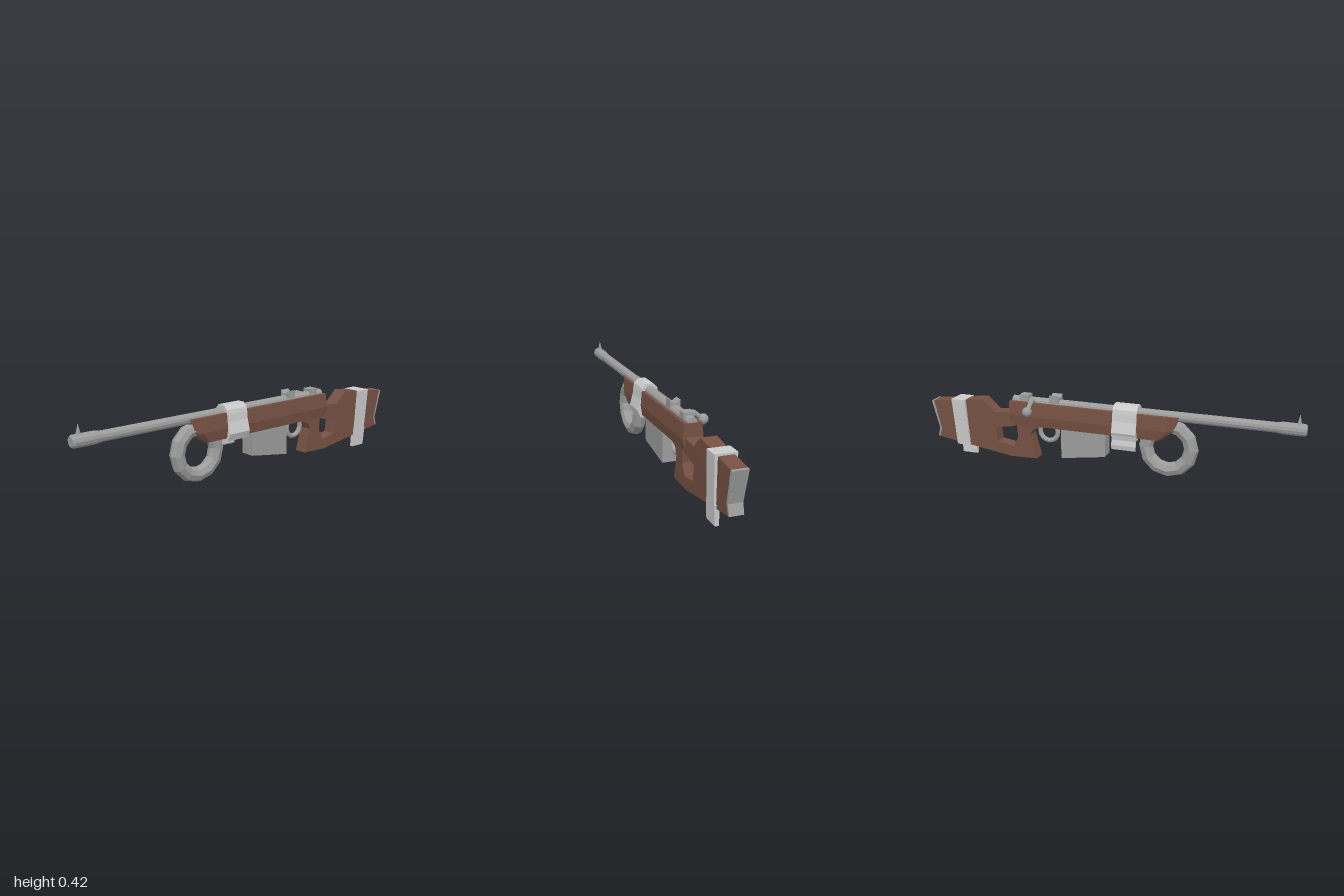
import * as THREE from 'three';

const mat = (color) => new THREE.MeshStandardMaterial({ color, flatShading: true });

export function createModel() {
  const group = new THREE.Group();
  const wood = mat(0x765143), metal = mat(0x9c9c9c), cloth = mat(0xcccccc);

  const add = (name, geometry, material) => {
    const mesh = new THREE.Mesh(geometry, material);
    mesh.name = name;
    group.add(mesh);
    return mesh;
  };
  const outline = (pts) => pts.map(([a, b]) => new THREE.Vector2(a, b));

  // side profile in x, y with thickness 2 * half
  const slab = (pts, half, hole) => {
    const shape = new THREE.Shape(outline(pts));
    if (hole) shape.holes.push(new THREE.Path(outline(hole)));
    return new THREE.ExtrudeGeometry(shape, { depth: half * 2, bevelEnabled: false }).translate(0, 0, -half);
  };
  // narrow a slab towards its bottom edge
  const taper = (geo, yTop, yBottom, scale) => {
    const p = geo.attributes.position;
    for (let i = 0; i < p.count; i++) {
      const t = THREE.MathUtils.clamp((yTop - p.getY(i)) / (yTop - yBottom), 0, 1);
      p.setZ(i, p.getZ(i) * THREE.MathUtils.lerp(1, scale, t));
    }
    geo.computeVertexNormals();
    return geo;
  };
  // cross profile in z, y running from x0 to x1
  const prism = (pts, x0, x1) =>
    new THREE.ExtrudeGeometry(new THREE.Shape(outline(pts.map(([z, y]) => [-z, y]))),
      { depth: x1 - x0, bevelEnabled: false }).rotateY(Math.PI / 2).translate(x0, 0, 0);
  // skin over a row of rings, capped at both ends
  const loft = (rings) => {
    const n = rings[0].length, index = [];
    for (let i = 0; i < rings.length - 1; i++)
      for (let j = 0; j < n; j++) {
        const k = (j + 1) % n, a = i * n + j, b = i * n + k;
        index.push(a, a + n, b + n, a, b + n, b);
      }
    const e = (rings.length - 1) * n;
    for (let j = 1; j < n - 1; j++) index.push(0, j, j + 1, e, e + j + 1, e + j);
    const geo = new THREE.BufferGeometry();
    geo.setAttribute('position', new THREE.Float32BufferAttribute(rings.flat(2), 3));
    geo.setIndex(index);
    geo.computeVertexNormals();
    return geo;
  };
  const rod = (a, b, r) => {
    const p = new THREE.Vector3(...a), q = new THREE.Vector3(...b);
    return new THREE.TubeGeometry(new THREE.LineCurve3(p, q), 1, r, 8);
  };

  // barrel with thicker muzzle, running along x
  const barrel = [[0, -1], [0.024, -1], [0.031, -0.99], [0.031, -0.89], [0.026, -0.85], [0.026, 0.515], [0, 0.515]];
  add('barrel', new THREE.LatheGeometry(outline(barrel), 12).rotateZ(-Math.PI / 2).translate(0, 0.343, 0), metal);

  // sights
  add('frontSight', new THREE.ConeGeometry(0.013, 0.055, 6).translate(-0.962, 0.392, 0), metal);
  add('rearSight', prism([[-0.026, 0.35], [0.026, 0.35], [0.026, 0.393], [0.008, 0.378],
    [-0.008, 0.378], [-0.026, 0.393]], 0.25, 0.304), metal);
  add('receiverBlock', new THREE.BoxGeometry(0.052, 0.04, 0.052).translate(0.446, 0.361, 0), metal);

  // bolt handle
  const elbow = [0.395, 0.355, -0.053], end = [0.395, 0.316, -0.103];
  add('boltArm', rod([0.395, 0.355, 0], elbow, 0.012), metal);
  add('boltElbow', new THREE.SphereGeometry(0.0125, 8, 6).translate(...elbow), metal);
  add('boltLever', rod(elbow, end, 0.012), metal);
  add('boltKnob', new THREE.SphereGeometry(0.026, 12, 8).translate(...end), metal);

  // forestock: six-sided section, widest at mid height
  const ring = (xTop, xMid, xLow, s, yLow = 0.219) => [
    [xTop, 0.346, 0.043 * s], [xTop, 0.346, -0.043 * s], [xMid, 0.272, -0.05 * s],
    [xLow, yLow, -0.042 * s], [xLow, yLow, 0.042 * s], [xMid, 0.272, 0.05 * s]];
  add('forestock', loft([ring(-0.39, -0.365, -0.3, 0.72), ring(-0.345, -0.33, -0.285, 1),
    ring(0.49, 0.49, 0.49, 1), ring(0.525, 0.525, 0.525, 1, 0.238)]), wood);

  // buttstock with thumbhole and grip
  const butt = [[0.345, 0.26], [0.345, 0.219], [0.395, 0.2], [0.413, 0.165], [0.378, 0.037], [0.527, 0.032],
    [0.967, 0.096], [0.95, 0.145], [0.988, 0.301], [0.687, 0.337], [0.618, 0.273], [0.51, 0.283]];
  const thumbhole = [[0.489, 0.214], [0.52, 0.203], [0.618, 0.187], [0.607, 0.107], [0.511, 0.091], [0.484, 0.15]];
  add('buttstock', taper(slab(butt, 0.038, thumbhole), 0.3, 0.03, 0.88), wood);
  add('buttPlate', taper(slab([[0.965, 0.096], [0.977, 0.096], [0.962, 0.145], [1, 0.3],
    [0.986, 0.302], [0.949, 0.145]], 0.0385), 0.3, 0.09, 0.86), metal);

  // magazine and trigger guard
  add('magazine', slab([[-0.008, 0.25], [-0.008, 0.096], [0.235, 0.059], [0.235, 0.25]], 0.038), metal);
  add('triggerGuard', new THREE.TorusGeometry(0.05, 0.013, 8, 16).translate(0.318, 0.187, 0), metal);

  // ring hung under the forestock
  add('foregripRing', new THREE.TorusGeometry(0.1175, 0.0375, 8, 12).translate(-0.334, 0.176, 0), metal);

  // cloth wrap around the forestock, with a loose flap on the far side
  const half = [[0.02, 0.381], [0.041, 0.36], [0.046, 0.338], [0.05, 0.3], [0.066, 0.243], [0.05, 0.205]];
  const mirrored = half.map(([z, y]) => [-z, y]).reverse();
  add('foreWrap', prism([...half, ...mirrored], -0.178, -0.05), cloth);
  add('foreWrapFlap', prism([[-0.046, 0.235], [-0.05, 0.2], [-0.052, 0.16], [-0.057, 0.153],
    [-0.062, 0.178], [-0.056, 0.205], [-0.063, 0.243]], -0.178, -0.05), cloth);

  // strap around the buttstock, with a hanging tail; leans back towards the top
  const lean = (geo) => {
    const p = geo.attributes.position;
    for (let i = 0; i < p.count; i++) p.setX(i, p.getX(i) + 0.055 * (p.getY(i) - 0.3));
    geo.computeVertexNormals();
    return geo;
  };
  add('buttStrap', lean(prism([[0.053, 0.325], [0.053, 0.314], [0.043, 0.066], [-0.04, 0.066],
    [-0.053, 0.314], [-0.053, 0.325]], 0.787, 0.866)), cloth);
  add('buttStrapTail', lean(prism([[0.044, 0.1], [0.039, 0], [0.02, 0], [0.02, 0.1]], 0.785, 0.872)), cloth);

  group.position.z = 0.033 - 0.032;
  group.children.forEach((m) => m.geometry.translate(0, 0, 0.032));
  return group;
}
